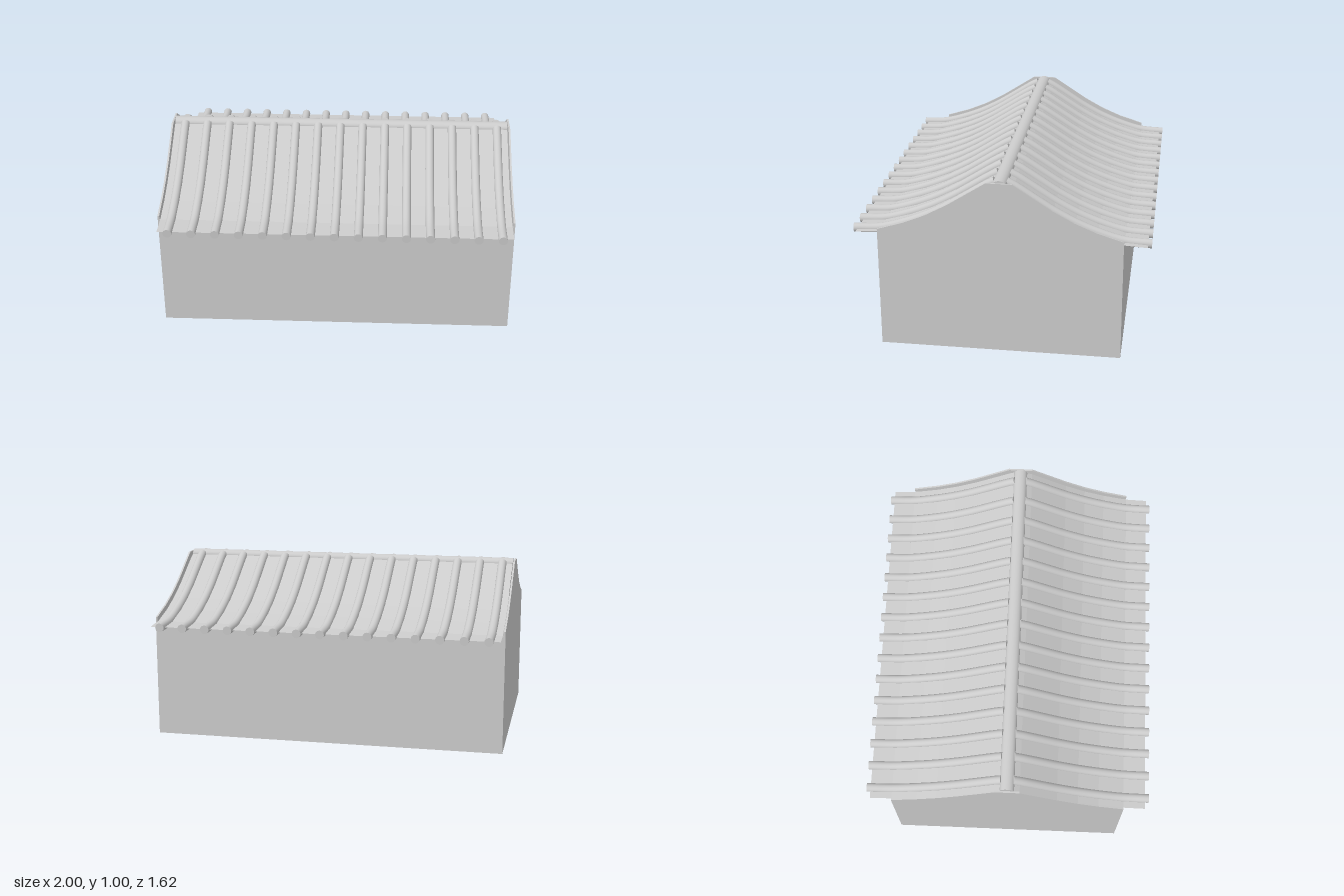
import * as THREE from 'three';

// Roof slope from ridge to eave as [z, y]
const SLOPE = [[0.03, 0.972], [0.07, 0.952], [0.2, 0.87], [0.28, 0.82], [0.4, 0.757], [0.52, 0.709], [0.665, 0.668], [0.79, 0.66]];
// Half outline of a gable wall, top to eave
const GABLE = [[0.07, 0.985], [0.28, 0.85], [0.4, 0.785], [0.52, 0.735], [0.665, 0.69]];
const WALL = 0.01, HALF_DEPTH = 0.665, ROOF_HALF = 0.985;
const TILE_ROWS = 15, TILE_GAP = 0.132, TILE_R = 0.025;

export function createModel() {
  const model = new THREE.Group();
  model.name = 'tiledRoofHouse';
  const flat = new THREE.MeshStandardMaterial({ color: 0xcccccc, flatShading: true, side: THREE.DoubleSide });
  const smooth = new THREE.MeshStandardMaterial({ color: 0xcccccc, side: THREE.DoubleSide });

  const add = (parent, name, geometry, material) => {
    const mesh = new THREE.Mesh(geometry, material);
    mesh.name = name;
    parent.add(mesh);
    return mesh;
  };

  // Gable end walls, rising just above the roof slope
  const outline = [
    [-HALF_DEPTH, 0], [HALF_DEPTH, 0],
    ...[...GABLE].reverse(),
    ...GABLE.map(([z, y]) => [-z, y]),
  ];
  const gableShape = new THREE.Shape(outline.map(([z, y]) => new THREE.Vector2(z, y)));
  const gableGeo = new THREE.ExtrudeGeometry(gableShape, { depth: WALL, bevelEnabled: false });
  gableGeo.rotateY(Math.PI / 2);
  add(model, 'leftGableWall', gableGeo, flat).position.x = 1 - WALL;
  add(model, 'rightGableWall', gableGeo, flat).position.x = -1;

  // Long front and back walls, leaving the inside hollow
  const wallGeo = new THREE.BoxGeometry(2 - 2 * WALL, 0.665, WALL);
  for (const [name, side] of [['frontWall', 1], ['backWall', -1]]) {
    add(model, name, wallGeo, flat).position.set(0, 0.3325, side * (HALF_DEPTH - WALL / 2));
  }

  // Thin curved roof sheet: a plane whose rows follow the slope
  const rows = [[0, 0.985], ...SLOPE];
  const sheetGeo = new THREE.PlaneGeometry(2 * ROOF_HALF, 1, 1, rows.length - 1);
  const pos = sheetGeo.attributes.position;
  for (let i = 0; i < pos.count; i++) {
    const [z, y] = rows[Math.floor(i / 2)];
    pos.setY(i, y);
    pos.setZ(i, z);
  }
  sheetGeo.computeVertexNormals();

  // One round tile row sweeping down the slope, and its end disc
  const path = new THREE.CatmullRomCurve3(
    [...SLOPE.slice(0, -1), [0.81, 0.66]].map(([z, y]) => new THREE.Vector3(0, y, z)), false, 'centripetal');
  const tileGeo = new THREE.TubeGeometry(path, 20, TILE_R, 16);
  const capGeo = new THREE.CircleGeometry(TILE_R, 16);

  for (const [name, turn] of [['frontRoof', 0], ['backRoof', Math.PI]]) {
    const roof = new THREE.Group();
    roof.name = name;
    roof.rotation.y = turn;
    add(roof, 'roofSheet', sheetGeo, flat);
    for (let i = 0; i < TILE_ROWS; i++) {
      const x = (i - (TILE_ROWS - 1) / 2) * TILE_GAP;
      add(roof, 'tileRow', tileGeo, smooth).position.x = x;
      for (const t of [0, 1]) {
        const cap = add(roof, t ? 'eaveTileEnd' : 'ridgeTileEnd', capGeo, smooth);
        const point = path.getPoint(t), dir = path.getTangent(t).multiplyScalar(t ? 1 : -1);
        cap.position.set(x, point.y, point.z);
        cap.quaternion.setFromUnitVectors(new THREE.Vector3(0, 0, 1), dir);
      }
    }
    model.add(roof);
  }

  // Rounded ridge cap along the top
  const ridgeGeo = new THREE.CylinderGeometry(0.04, 0.04, 2 * ROOF_HALF, 20);
  ridgeGeo.rotateZ(Math.PI / 2);
  ridgeGeo.scale(1, 0.75, 1);
  add(model, 'ridgeCap', ridgeGeo, smooth).position.y = 0.966;

  return model;
}
